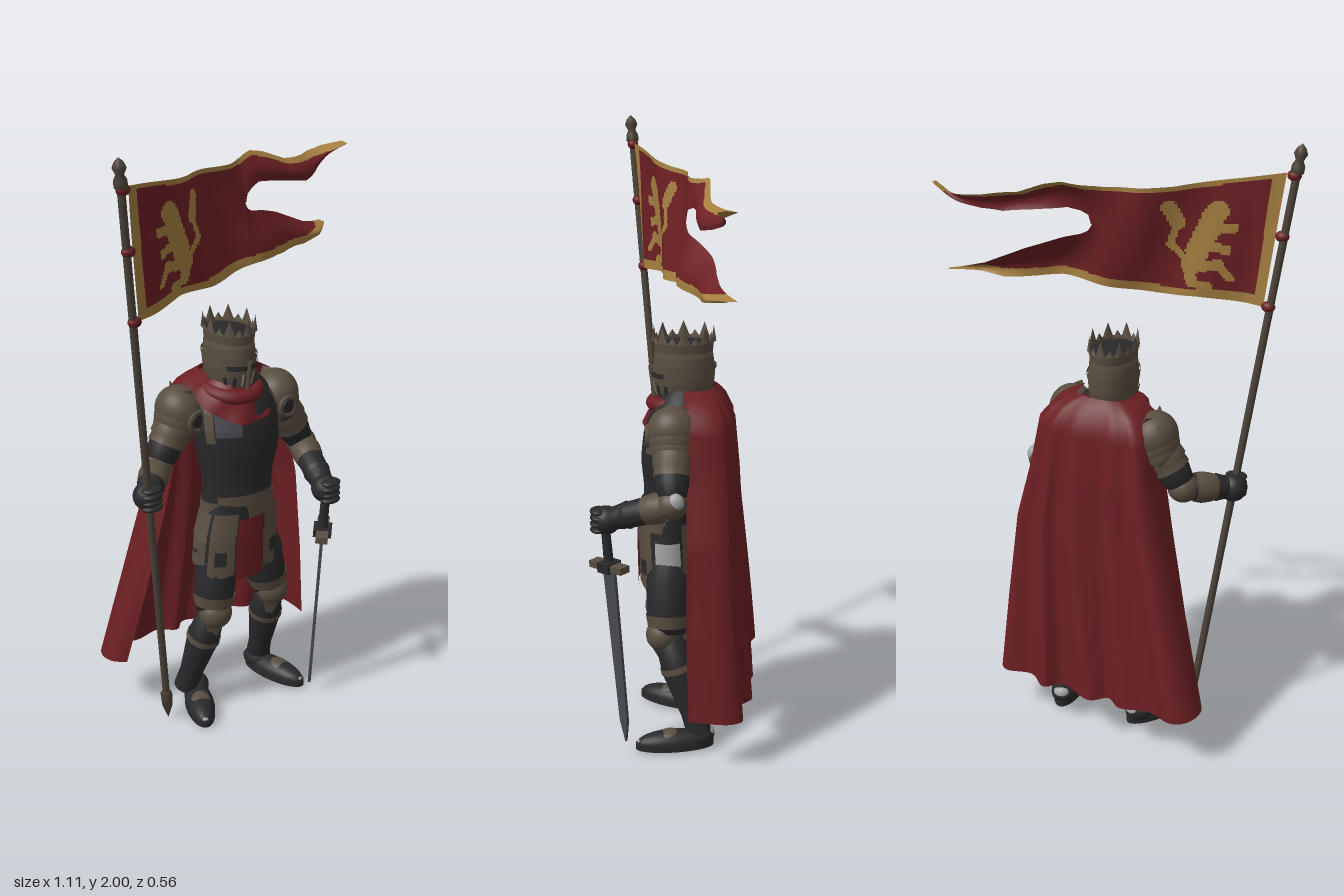
import * as THREE from 'three';

const V = (x, y, z) => new THREE.Vector3(x, y, z);
const lerp = THREE.MathUtils.lerp;
const mix = (a, b, t) => a.map((v, i) => lerp(v, b[i], t));
const flat = (pts) => pts.map((p) => new THREE.Vector2(...p));

// One material per flat colour
const colour = (name, color, side = THREE.FrontSide) => {
  const m = new THREE.MeshStandardMaterial({ color, side });
  m.name = name;
  return m;
};

// Linear interpolation in a table of rows [key, a, b, ...], keys ascending
function rowAt(rows, k) {
  let i = 0;
  while (i < rows.length - 2 && k > rows[i + 1][0]) i++;
  return mix(rows[i], rows[i + 1], THREE.MathUtils.clamp((k - rows[i][0]) / (rows[i + 1][0] - rows[i][0]), 0, 1));
}

export function createModel() {
  const root = new THREE.Group();
  const red = colour('red cloth', 0x6b1f23, THREE.DoubleSide);
  const gold = colour('gold trim', 0xa47e40, THREE.DoubleSide);
  const bronze = colour('brown armour', 0x584d40, THREE.DoubleSide);
  const iron = colour('dark iron', 0x29292b, THREE.DoubleSide);
  const steel = colour('blade steel', 0x4a4b52);
  const pale = colour('pale plate', 0xa2a2a2, THREE.DoubleSide);
  const wood = colour('pole wood', 0x4c4339);

  function add(name, geo, mat, pos = [0, 0, 0], scale = [1, 1, 1], rot = [0, 0, 0], parent = root) {
    const m = new THREE.Mesh(geo, mat);
    m.name = name;
    m.position.set(...pos);
    m.scale.set(...scale);
    m.rotation.set(...rot);
    parent.add(m);
    return m;
  }
  const ball = (name, mat, pos, scale, rot, parent) =>
    add(name, new THREE.SphereGeometry(1, 28, 18), mat, pos, scale, rot, parent);
  function group(name, pos = [0, 0, 0]) {
    const g = new THREE.Group();
    g.name = name;
    g.position.set(...pos);
    root.add(g);
    return g;
  }

  // Turned piece from a to b; profile rows are [fraction of length, radius]
  function turned(name, mat, a, b, profile, sides = 20) {
    const d = V(...b).sub(V(...a)), len = d.length();
    const geo = new THREE.LatheGeometry(flat(profile.map(([t, r]) => [r, t * len])), sides);
    add(name, geo, mat, a).quaternion.setFromUnitVectors(V(0, 1, 0), d.normalize());
  }

  // Grid surface from a function of u and v; pick chooses the material of each cell
  function surface(name, mats, nu, nv, fn, pick = () => 0, parent = root) {
    const pos = [], faces = mats.map(() => []), w = nu + 1;
    for (let j = 0; j <= nv; j++) for (let i = 0; i <= nu; i++) pos.push(...fn(i / nu, j / nv));
    for (let j = 0; j < nv; j++) for (let i = 0; i < nu; i++) {
      const a = j * w + i;
      faces[pick(...fn((i + 0.5) / nu, (j + 0.5) / nv))].push(a, a + 1, a + w + 1, a, a + w + 1, a + w);
    }
    const geo = new THREE.BufferGeometry();
    geo.setAttribute('position', new THREE.Float32BufferAttribute(pos, 3));
    geo.setIndex(faces.flat());
    let start = 0;
    faces.forEach((f, n) => { geo.addGroup(start, f.length, n); start += f.length; });
    geo.computeVertexNormals();
    add(name, geo, mats, undefined, undefined, undefined, parent);
  }

  // Elliptical body sections: rows are [y, centre x, centre z, half width, half depth]
  const bodyPart = (name, mat, rows, a0, a1, y0, y1, out = 0, hem = () => 0, parent = root) =>
    surface(name, [mat], 40, 16, (u, v) => {
      const a = lerp(a0, a1, u), y = lerp(y0 + hem(u), y1, v);
      const [, cx, cz, hx, hz] = rowAt(rows, y);
      return [cx + (hx + out) * Math.sin(a), y, cz + (hz + out) * Math.cos(a)];
    }, undefined, parent);
  const notch = (d) => (u) => d * Math.abs(u - 0.5);

  // Torso, turned a little towards the pole
  const torso = group('torso');
  torso.rotation.y = -0.17;
  const chest = [[0.68, -0.02, 0.03, 0.125, 0.08], [0.8, -0.02, 0.03, 0.12, 0.078], [0.87, -0.015, 0.025, 0.125, 0.08],
    [0.96, -0.01, 0.015, 0.145, 0.098], [1.04, -0.01, 0.005, 0.155, 0.1], [1.1, -0.01, -0.01, 0.15, 0.098],
    [1.16, -0.01, -0.025, 0.11, 0.085], [1.21, -0.015, -0.03, 0.05, 0.05]];
  bodyPart('breastplate', iron, chest, -Math.PI, Math.PI, 0.68, 1.21, 0, undefined, torso);
  bodyPart('belt', bronze, chest, -Math.PI, Math.PI, 0.73, 0.79, 0.007, undefined, torso);
  bodyPart('waistPlate', bronze, chest, -0.9, 0.9, 0.775, 0.815, 0.009, notch(0.03), torso);
  bodyPart('chestPlate', steel, chest, -0.8, -0.2, 1.02, 1.1, 0.003, undefined, torso);
  for (const s of [-1, 1]) bodyPart('chestTrim', bronze, chest, s * 0.95 - 0.12, s * 0.95 + 0.12, 1.0, 1.13, 0.004, undefined, torso);

  // Skirt, tassets and front cloth
  const skirt = [[0.53, -0.03, 0.02, 0.155, 0.09], [0.66, -0.03, 0.025, 0.145, 0.088], [0.79, -0.02, 0.03, 0.12, 0.08]];
  bodyPart('skirt', iron, skirt, -Math.PI, Math.PI, 0.55, 0.79);
  for (const [a0, a1, y0] of [[0.26, 0.98, 0.53], [-1.15, -0.47, 0.53], [2.05, 2.6, 0.57], [-2.2, -1.25, 0.57]]) {
    bodyPart('tasset', bronze, skirt, a0, a1, y0, 0.68, 0.01, notch(0.03));
    bodyPart('tassetUpper', bronze, skirt, a0, a1, 0.66, 0.76, 0.014, notch(0.05));
    bodyPart('tassetInset', iron, skirt, lerp(a0, a1, 0.28), lerp(a0, a1, 0.72), y0 + 0.05, 0.63, 0.013);
  }
  bodyPart('frontCloth', red, skirt, -0.45, 0.22, 0.525, 0.74, 0.014);
  bodyPart('hipPlate', pale, skirt, 1.1, 2.0, 0.575, 0.7, 0.006);

  // Scarf around the neck
  surface('scarf', [red], 60, 8, (u, v) => {
    const a = (u - 0.5) * 2 * Math.PI, f = Math.max(0, Math.cos(a)), w = 1 + 0.05 * Math.sin(a * 7 + v * 4) * v;
    return [-0.018 + lerp(0.068, 0.14, v) * Math.sin(a) * w, 1.185 - v * (0.04 + 0.085 * f),
      -0.022 + lerp(0.075, 0.13, v) * Math.cos(a) * w];
  });
  add('scarfRoll', new THREE.TorusGeometry(0.084, 0.023, 12, 40), red, [-0.018, 1.153, -0.02], [1, 1.1, 1], [Math.PI / 2 + 0.15, 0, 0]);

  // Cape: [v, y, left x, right x, left front z, right front z, back z]
  const cape = [[0, 1.2, -0.095, 0.085, -0.02, -0.02, -0.125], [0.04, 1.172, -0.155, 0.155, -0.04, -0.03, -0.158],
    [0.1, 1.11, -0.195, 0.205, -0.05, -0.035, -0.187], [0.25, 0.95, -0.215, 0.235, -0.055, -0.03, -0.2],
    [0.45, 0.75, -0.26, 0.285, -0.07, -0.03, -0.21], [0.75, 0.45, -0.335, 0.315, -0.1, -0.03, -0.23],
    [1, 0.18, -0.405, 0.337, -0.14, -0.035, -0.25]];
  // Folded outline of the hem, as fractions of width and depth
  const hemLine = new THREE.SplineCurve(flat([[0.05, 0], [0.007, 0.28], [0, 0.73], [0.034, 1.17], [0.1, 1.29], [0.21, 1], [0.344, 1.1], [0.425, 0.84],
    [0.505, 1.07], [0.654, 0.77], [0.735, 1], [0.829, 0.74], [0.95, 0.82], [1, 0.63], [1, 0.3], [0.985, 0]]));
  surface('cape', [red], 120, 40, (u, v) => {
    const [, y, xl, xr, zl, zr, zb] = rowAt(cape, v);
    const c = Math.cos(Math.PI * u), s = Math.sin(Math.PI * u), h = hemLine.getPoint(u), w = v ** 0.7;
    const k = lerp((1 - Math.sign(c) * Math.abs(c) ** 0.65) / 2, h.x, w), d = lerp(s ** 0.55, h.y, w);
    const zf = lerp(zl, zr, k);
    return [lerp(xl, xr, k), y - 0.015 * v * s + 0.02 * v * (1 - k), lerp(zf, zb, d)];
  });

  // Helmet
  const head = group('helmet', [-0.015, 0, -0.025]);
  head.scale.set(1, 1, 1.3);
  const lathe = (pts) => new THREE.LatheGeometry(flat(pts), 36);
  add('helm', lathe([[0.045, 1.12], [0.06, 1.15], [0.073, 1.19], [0.077, 1.24], [0.073, 1.29], [0.069, 1.33], [0, 1.335]]), bronze, undefined, undefined, undefined, head);
  add('helmTop', lathe([[0.068, 1.335], [0, 1.342]]), iron, undefined, undefined, undefined, head);
  const arc = (name, mat, r, h, y, mid, half, top = r) =>
    add(name, new THREE.CylinderGeometry(top, r, h, 24, 1, true, mid - half, half * 2), mat, [0, y, 0], undefined, undefined, head);
  arc('browBand', bronze, 0.08, 0.014, 1.262, 0, Math.PI);
  for (const s of [-1, 1]) {
    arc('eyeSlit', iron, 0.0795, 0.016, 1.236, s * 0.5, 0.4);
    arc('breathSlot', iron, 0.0695, 0.04, 1.185, s * 0.6, 0.07, 0.078);
    arc('breathSlot', iron, 0.0695, 0.04, 1.185, s * 0.95, 0.07, 0.078);
    arc('facePlate', pale, 0.07, 0.045, 1.195, s * 0.27, 0.05, 0.079);
  }
  add('faceRidge', new THREE.CylinderGeometry(0.007, 0.006, 0.12, 8), bronze, [0, 1.2, 0.075], undefined, [0.09, 0, 0], head);
  arc('crownBand', bronze, 0.071, 0.04, 1.325, 0, Math.PI, 0.074);
  for (let i = 0; i < 16; i++) {
    const a = (i / 16) * Math.PI * 2, h = i % 2 ? 0.022 : 0.05;
    add('crownPoint', new THREE.ConeGeometry(i % 2 ? 0.013 : 0.018, h, 6), bronze,
      [0.073 * Math.sin(a), 1.341 + h / 2, 0.073 * Math.cos(a)], [1, 1, 0.35], [0, a, 0], head);
  }

  // Arms: shoulder, elbow and hand positions, and the stretch of brown forearm
  const sized = (r) => [[0, 0], [0.02, 0.8], [0.3, 1], [0.7, 0.95], [0.98, 0.75], [1, 0]].map(([t, k]) => [t, k * r]);
  const arms = [
    { side: -1, s: [-0.178, 1.08, -0.075], e: [-0.275, 0.925, -0.065], h: [-0.4, 0.9, 0.05], cover: [0.2, 0.72] },
    { side: 1, s: [0.147, 1.08, 0.01], e: [0.262, 0.885, 0.015], h: [0.187, 0.81, 0.22], cover: [0.1, 0.5] }];
  for (const { side, s, e, h, cover } of arms) {
    turned('upperArm', iron, s, e, sized(0.057));
    turned('armPlate', bronze, mix(s, e, 0.3), mix(s, e, 0.62), [[0, 0.062], [0.5, 0.064], [0.55, 0.058], [1, 0.06]]);
    ball('elbowPlate', bronze, e, [0.05, 0.048, 0.05]);
    turned('forearm', iron, e, h, sized(0.044));
    turned('vambrace', bronze, mix(e, h, cover[0]), mix(e, h, cover[1]), [[0, 0.046], [0.3, 0.05], [0.6, 0.047], [1, 0.038]]);
    turned('gauntletCuff', iron, mix(e, h, 0.65), mix(e, h, 0.85), [[0, 0.045], [1, 0.034]]);
    ball('hand', iron, h, [0.045, 0.046, 0.046]);
    for (let i = 0; i < 4; i++) ball('finger', iron, [h[0], h[1] + 0.03 - i * 0.02, h[2] + 0.024], [0.036, 0.012, 0.028]);
    // Layered shoulder armour
    for (let i = 0; i < 3; i++)
      add('pauldron', new THREE.SphereGeometry(0.082 - i * 0.004, 28, 14, 0, Math.PI * 2, 0, 1.75), bronze,
        [s[0] + side * i * 0.008, s[1] + 0.008 - i * 0.025, s[2]], [0.92, 1, 1], [0, 0, -side * 0.35]);
    const disc = [s[0] - side * 0.012, s[1] - 0.01, s[2] + 0.079];
    add('shoulderDisc', new THREE.CylinderGeometry(0.022, 0.026, 0.014, 24), iron, disc, undefined, [Math.PI / 2, 0, 0]);
    add('shoulderRim', new THREE.TorusGeometry(0.03, 0.008, 8, 28), bronze, disc);
    add('neckGuard', new THREE.CylinderGeometry(0.07, 0.06, 0.045, 20, 1, true, side * 1.57 - 0.9, 1.8), bronze,
      [s[0] - side * 0.055, 1.16, s[2]], undefined, [0, 0, -side * 0.3]);
  }
  ball('elbowBoss', pale, [0.29, 0.9, 0.003], [0.022, 0.03, 0.026]);

  // Legs: hip, knee, ankle, foot centre and turn
  const legs = [
    { hip: [-0.1, 0.64, 0.025], knee: [-0.135, 0.39, 0.035], ankle: [-0.17, 0.06, -0.07], foot: [-0.17, 0, 0.005], turn: -0.5 },
    { hip: [0.06, 0.64, 0.025], knee: [0.115, 0.39, 0.03], ankle: [0.155, 0.06, -0.075], foot: [0.163, 0, 0.005], turn: 0.15 }];
  for (const { hip, knee, ankle, foot, turn } of legs) {
    turned('thigh', iron, hip, knee, sized(0.071));
    turned('thighPlate', bronze, mix(hip, knee, 0.74), mix(hip, knee, 0.9), [[0, 0.071], [1, 0.063]]);
    turned('shin', iron, knee, ankle, [[0, 0], [0.02, 0.045], [0.35, 0.055], [0.8, 0.039], [1, 0.042]]);
    ball('kneePlate', bronze, [knee[0], knee[1], knee[2] + 0.015], [0.056, 0.055, 0.054]);
    add('kneePoint', new THREE.ConeGeometry(0.055, 0.12, 4), bronze,
      [knee[0] - 0.005, knee[1] - 0.07, knee[2] + 0.018], [1, 1, 0.6], [Math.PI + 0.25, 0, 0]);
    turned('greaveBand', bronze, mix(knee, ankle, 0.3), mix(knee, ankle, 0.36), [[0, 0.057], [1, 0.058]]);
    const boot = group('boot', foot);
    boot.rotation.y = turn;
    add('sole', new THREE.CylinderGeometry(1, 1, 0.02, 28), iron, [0, 0.022, 0], [0.048, 1, 0.13], undefined, boot);
    add('bootUpper', new THREE.SphereGeometry(1, 28, 10, 0, Math.PI * 2, 0, Math.PI / 2), iron, [0, 0.03, 0], [0.046, 0.04, 0.127], undefined, boot);
    ball('heel', iron, [0, 0.05, -0.08], [0.044, 0.042, 0.052], undefined, boot);
    ball('bootPlate', bronze, [0, 0.05, 0.03], [0.034, 0.02, 0.045], [0.3, 0, 0], boot);
    ball('toeCap', pale, [0, 0.035, 0.113], [0.014, 0.01, 0.012], undefined, boot);
    ball('heelPlate', pale, [0, 0.06, -0.106], [0.03, 0.024, 0.026], undefined, boot);
  }

  // Sword held point down
  const sword = group('sword', [0.187, 0.655, 0.213]);
  sword.rotation.set(0.08, Math.PI / 4, 0);
  const blade = new THREE.Shape(flat([[-0.026, 0], [-0.017, -0.54], [0, -0.615], [0.017, -0.54], [0.026, 0]]));
  add('blade', new THREE.ExtrudeGeometry(blade, { depth: 0.01, bevelEnabled: false }), steel, [0, 0, -0.005], undefined, undefined, sword);
  add('guard', new THREE.BoxGeometry(0.145, 0.022, 0.04), bronze, undefined, undefined, undefined, sword);
  add('guardBlock', new THREE.BoxGeometry(0.05, 0.032, 0.06), iron, undefined, undefined, undefined, sword);
  add('grip', new THREE.CylinderGeometry(0.014, 0.016, 0.17, 14), iron, [0, 0.085, 0], undefined, undefined, sword);
  ball('pommel', iron, [0, 0.18, 0], [0.022, 0.022, 0.022], undefined, sword);

  // Leaning banner pole with spike and finial
  const base = [-0.285, 0, -0.02], top = [-0.54, 2, 0.15];
  turned('pole', wood, base, top, [[0.05, 0.012], [0.955, 0.012], [0.957, 0.02], [0.967, 0.02], [0.975, 0.012], [0.985, 0.021], [0.993, 0.014], [1, 0]], 14);
  turned('poleSpike', wood, base, top, [[0.002, 0], [0.03, 0.018], [0.055, 0.02], [0.062, 0.013]], 8);
  for (const y of [1.905, 1.72, 1.5]) {
    const [x, , z] = mix(base, top, y / 2);
    ball('bannerTie', red, [x + 0.006, y, z], [0.022, 0.017, 0.018]);
  }

  // Swallow-tailed banner: edge heights by x
  const edgeTop = [[-0.5, 1.912], [-0.2, 1.866], [0.01, 1.855], [0.07, 1.86], [0.125, 1.87], [0.18, 1.858], [0.27, 1.822], [0.38, 1.81], [0.46, 1.812], [0.55, 1.83]];
  const edgeLow = [[-0.5, 1.498], [-0.28, 1.52], [-0.15, 1.517], [0.01, 1.53], [0.16, 1.548], [0.34, 1.535], [0.42, 1.548], [0.49, 1.564]];
  const notchUp = [[-0.5, 1.72], [0.055, 1.73], [0.06, 1.755], [0.085, 1.77], [0.125, 1.78], [0.22, 1.765], [0.34, 1.745], [0.4, 1.755], [0.46, 1.775], [0.55, 1.82]];
  const notchLow = [[-0.5, 1.72], [0.055, 1.73], [0.06, 1.71], [0.085, 1.697], [0.14, 1.685], [0.245, 1.65], [0.38, 1.59], [0.49, 1.566]];
  // Depth by x along the upper edge, both sides of the notch and the lower edge
  const depth = [[-0.5, 0.137, 0.123, 0.123, 0.11], [-0.4, 0.1, 0.105, 0.105, 0.1], [-0.25, 0.04, 0.045, 0.045, 0.055],
    [-0.1, -0.03, -0.01, -0.01, 0.02], [0.06, -0.075, -0.045, -0.045, 0], [0.2, -0.095, -0.05, -0.08, -0.025],
    [0.33, -0.125, -0.08, -0.115, -0.06], [0.42, -0.15, -0.105, -0.15, -0.1], [0.49, -0.16, -0.125, -0.175, -0.165], [0.55, -0.145, -0.135, -0.175, -0.17]];
  // Rampant beast painted on the cloth, as strokes [x, y, x, y, radius]
  const strokes = [[-0.315, 1.79, -0.295, 1.765, 0.032], [-0.29, 1.74, -0.255, 1.66, 0.035], [-0.25, 1.64, -0.24, 1.62, 0.032],
    [-0.29, 1.73, -0.36, 1.74, 0.015], [-0.28, 1.69, -0.34, 1.67, 0.015], [-0.25, 1.62, -0.32, 1.62, 0.018],
    [-0.32, 1.62, -0.35, 1.58, 0.013], [-0.23, 1.61, -0.24, 1.57, 0.018], [-0.24, 1.56, -0.29, 1.555, 0.012],
    [-0.22, 1.64, -0.175, 1.68, 0.011], [-0.175, 1.68, -0.2, 1.75, 0.011], [-0.2, 1.75, -0.18, 1.8, 0.022]]
    .map(([a, b, c, d, r]) => [new THREE.Line3(V(a, b, 0), V(c, d, 0)), r]);
  const near = V(0, 0, 0);
  const isGold = (x, y) => {
    const p = V(x, y, 0), left = -0.5 + (1.91 - y) * 0.11;
    return x - left < 0.035 || rowAt(edgeTop, x)[1] - y < 0.014 || y - rowAt(edgeLow, x)[1] < 0.026 || x > 0.51 ||
      strokes.some(([l, r]) => l.closestPointToPoint(p, true, near).distanceTo(p) < r);
  };
  for (const [name, lower, upper, tip, zCol] of [['bannerUpper', notchUp, edgeTop, 0.55, 1], ['bannerLower', edgeLow, notchLow, 0.49, 3]])
    surface(name, [red, gold], 140, 28, (u, v) => {
      const x0 = lerp(-0.5, tip, u), y = lerp(rowAt(lower, x0)[1], rowAt(upper, x0)[1], v);
      const x = x0 + (1.91 - y) * 0.11 * (1 - u) ** 2, d = rowAt(depth, x);
      const ripple = 0.014 * Math.sin(22 * x + 11 * y) * Math.min(1, (x + 0.5) * 2.5);
      const belly = 0.022 * Math.sin(Math.PI * v) * THREE.MathUtils.smoothstep(x, 0, 0.2);
      return [x, y, lerp(d[zCol + 1], d[zCol], v) + ripple + belly];
    }, (x, y) => (isGold(x, y) ? 1 : 0));

  return root;
}
